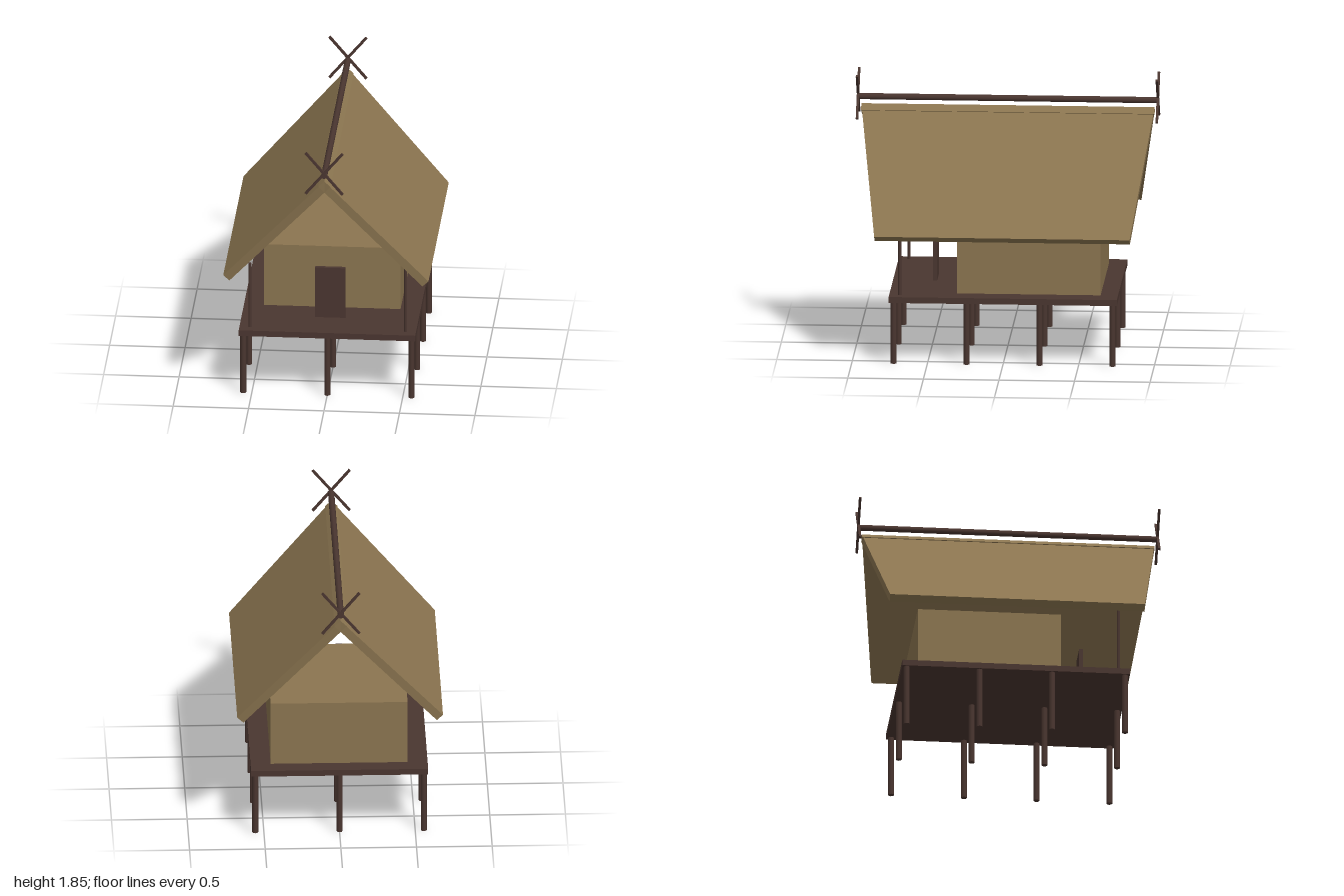
import * as THREE from 'three';

export function createModel() {
  const house = new THREE.Group();
  house.name = 'stiltHouse';

  const thatch = new THREE.MeshStandardMaterial({ color: 0x8b7550 });
  thatch.name = 'thatch';
  const wood = new THREE.MeshStandardMaterial({ color: 0x4a3630 });
  wood.name = 'dark wood';

  const add = (name, geometry, material, x, y, z) => {
    const mesh = new THREE.Mesh(geometry, material);
    mesh.name = name;
    mesh.position.set(x, y, z);
    house.add(mesh);
    return mesh;
  };

  // Stilts: three columns by four rows
  const stilt = new THREE.CylinderGeometry(0.02, 0.02, 0.42, 8);
  for (const x of [-0.557, 0, 0.557]) {
    for (const z of [-0.724, -0.241, 0.241, 0.724]) add('stilt', stilt, wood, x, 0.21, z);
  }

  // Raised platform, cabin and door screen
  add('platform', new THREE.BoxGeometry(1.17, 0.04, 1.51), wood, 0, 0.435, 0);
  add('cabin', new THREE.BoxGeometry(0.905, 0.435, 0.95), thatch, 0, 0.6725, -0.165);
  add('door', new THREE.BoxGeometry(0.2, 0.355, 0.026), wood, 0, 0.6325, 0.476);

  // Slim veranda posts at the front corners
  const post = new THREE.CylinderGeometry(0.0105, 0.0105, 0.458, 8);
  for (const x of [-0.516, 0.516]) add('verandaPost', post, wood, x, 0.683, 0.685);

  // Roof slabs: trapezoids, longer at the ridge than at the eaves
  const run = 0.68, drop = 0.745, slope = Math.hypot(run, drop);
  const outline = new THREE.Shape([
    new THREE.Vector2(0, -0.97),
    new THREE.Vector2(slope, -0.845),
    new THREE.Vector2(slope, 0.845),
    new THREE.Vector2(0, 0.97),
  ]);
  const slab = new THREE.ExtrudeGeometry(outline, { depth: 0.055, bevelEnabled: false });
  const down = new THREE.Vector3(run, -drop, 0).normalize();
  const along = new THREE.Vector3(0, 0, 1);
  slab.applyMatrix4(new THREE.Matrix4().makeBasis(down, along, down.clone().cross(along)));
  add('leftRoof', slab, thatch, 0, 1.63, 0);
  add('rightRoof', slab, thatch, 0, 1.63, 0).rotation.y = Math.PI;

  // Ridge pole
  add('ridgePole', new THREE.CylinderGeometry(0.021, 0.021, 1.98, 8).rotateX(Math.PI / 2), wood, 0, 1.678, 0);

  // Crossed finials at both gable ends
  const finial = new THREE.BoxGeometry(0.016, 0.38, 0.016);
  for (const z of [-0.992, 0.992]) {
    for (const side of [-1, 1]) add('crossedFinial', finial, wood, 0, 1.696, z).rotation.z = side * 0.7;
  }

  return house;
}
